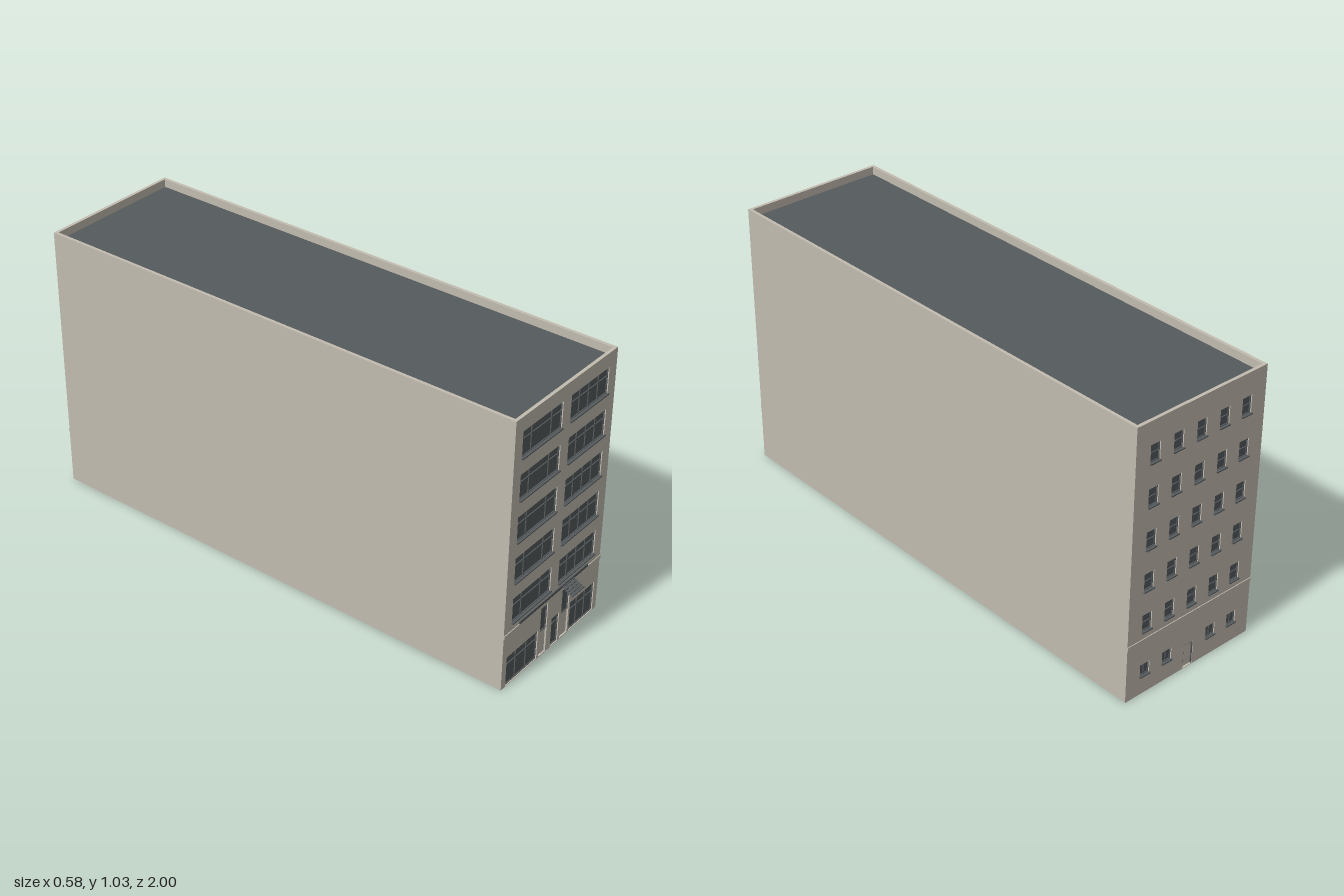
import * as THREE from 'three';

const FRONT = 0.953, BACK = -0.994, T = 0.012, HEIGHT = 1.03;
const stone = new THREE.MeshStandardMaterial({ name: 'warm stone', color: 0xc2bcb0 });
const dark = new THREE.MeshStandardMaterial({ name: 'dark slate', color: 0x555a5d });

function box(parent, name, mat, x0, x1, y0, y1, z0, z1) {
  const m = new THREE.Mesh(new THREE.BoxGeometry(x1 - x0, y1 - y0, Math.abs(z1 - z0)), mat);
  m.position.set((x0 + x1) / 2, (y0 + y1) / 2, (z0 + z1) / 2);
  m.name = name;
  parent.add(m);
  return m;
}

// End wall with rectangular openings [x0, x1, y0, y1]
function endWall(parent, name, x0, x1, z, openings) {
  const rect = (P, a, b, c, d) =>
    new P([[a, c], [b, c], [b, d], [a, d]].map(([x, y]) => new THREE.Vector2(x, y)));
  const shape = rect(THREE.Shape, x0, x1, 0, HEIGHT);
  for (const o of openings) shape.holes.push(rect(THREE.Path, ...o));
  const m = new THREE.Mesh(new THREE.ExtrudeGeometry(shape, { depth: T, bevelEnabled: false }), stone);
  m.position.z = z;
  m.name = name;
  parent.add(m);
}

// Slab raised from a plan outline of [x, z] corners
function slab(parent, name, mat, plan, y0, y1) {
  const shape = new THREE.Shape(plan.map(([x, z]) => new THREE.Vector2(x, -z)));
  const geo = new THREE.ExtrudeGeometry(shape, { depth: y1 - y0, bevelEnabled: false });
  const m = new THREE.Mesh(geo.rotateX(-Math.PI / 2), mat);
  m.position.y = y0;
  m.name = name;
  parent.add(m);
}

// Recessed pane with frame and bars; dir is +1 on the front, -1 on the back
function glazing(parent, name, [x0, x1, y0, y1], face, dir, verticals, horizontals, sill) {
  const g = new THREE.Group();
  g.name = name;
  parent.add(g);
  const zp = face - dir * 0.008, zf = face - dir * 0.004, b = 0.0025;
  box(g, 'pane', dark, x0, x1, y0, y1, zp - dir * 0.002, zp);
  for (const f of [0, ...verticals, 1]) {
    const x = x0 + b / 2 + f * (x1 - x0 - b);
    box(g, 'upright', dark, x - b / 2, x + b / 2, y0, y1, zp, zf);
  }
  for (const f of [0, ...horizontals, 1]) {
    const y = y0 + b / 2 + f * (y1 - y0 - b);
    box(g, 'crossbar', dark, x0, x1, y - b / 2, y + b / 2, zp, zf);
  }
  if (sill) box(g, 'sill', dark, x0 - 0.002, x1 + 0.002, y0 - 0.003, y0 + 0.001, zp, face + dir * 0.006);
}

export function createModel() {
  const model = new THREE.Group();
  model.name = 'building';
  const rows = [0, 1, 2, 3, 4].map((i) => 0.249 + i * 0.1573);

  // Openings
  const leftWindows = rows.map((y) => [-0.248, -0.028, y, y + 0.097]);
  const rightWindows = rows.map((y) => [0.018, 0.235, y, y + 0.097]);
  const shopfronts = [[-0.265, -0.085, 0.002, 0.12], [0.107, 0.255, 0.002, 0.12]];
  const smallDoor = [-0.004, 0.04, 0.002, 0.12];
  const tallDoors = [[-0.073, -0.033, 0.003, 0.202], [0.053, 0.098, 0.003, 0.202]];
  const columns = [0.204, 0.104, 0.003, -0.098, -0.197];
  const rearWindows = rows.flatMap((y) => columns.map((x) => [x - 0.021, x + 0.021, y, y + 0.066]));
  const rearLow = columns.filter((x) => x !== 0.003).map((x) => [x - 0.021, x + 0.021, 0.072, 0.118]);
  const rearDoor = [-0.019, 0.025, 0.002, 0.094];

  // Open-bottomed shell on a slightly skewed plan, rising to a parapet
  endWall(model, 'frontWall', -0.29, 0.277, FRONT - T,
    [...leftWindows, ...rightWindows, ...shopfronts, smallDoor, ...tallDoors]);
  endWall(model, 'backWall', -0.28, 0.287, BACK, [...rearWindows, ...rearLow, rearDoor]);
  const zf = FRONT - T, zb = BACK + T;
  slab(model, 'rightWall', stone, [[0.277 - T, zf], [0.277, zf], [0.287, zb], [0.287 - T, zb]], 0, HEIGHT);
  slab(model, 'leftWall', stone, [[-0.29, zf], [-0.29 + T, zf], [-0.28 + T, zb], [-0.28, zb]], 0, HEIGHT);
  slab(model, 'roof', dark,
    [[-0.29 + T, zf], [0.277 - T, zf], [0.287 - T, zb], [-0.28 + T, zb]], 0.99, 1.0);

  // Front glazing
  for (const o of leftWindows) glazing(model, 'frontWindow', o, FRONT, 1, [0.25, 0.75], [0.66], true);
  for (const o of rightWindows) glazing(model, 'frontWindow', o, FRONT, 1, [0.25, 0.5, 0.75], [0.66], true);
  for (const o of shopfronts) glazing(model, 'shopfront', o, FRONT, 1, [0.33, 0.67], [0.7], false);
  glazing(model, 'smallDoor', smallDoor, FRONT, 1, [], [0.75], false);

  // Tall entrances: glazed above, plain panel below
  for (const [x0, x1, y0, y1] of tallDoors) {
    glazing(model, 'entranceGlass', [x0, x1, 0.1, y1], FRONT, 1, [], [], false);
    box(model, 'entrancePanel', stone, x0, x1, y0, 0.1, FRONT - 0.01, FRONT - 0.006);
  }

  // Rear glazing and door
  for (const o of rearWindows) glazing(model, 'rearWindow', o, BACK, -1, [], [0.5], true);
  for (const o of rearLow) glazing(model, 'rearLowWindow', o, BACK, -1, [0.5], [], true);
  const [dx0, dx1, dy0, dy1] = rearDoor;
  box(model, 'rearDoor', stone, dx0, dx1, dy0, dy1, BACK + 0.01, BACK + 0.007);
  for (const x of [dx0, dx1 - 0.003]) {
    box(model, 'rearDoorFrame', dark, x, x + 0.003, dy0, dy1, BACK + 0.007, BACK + 0.002);
  }
  box(model, 'rearDoorHead', dark, dx0, dx1, dy1 - 0.003, dy1, BACK + 0.007, BACK + 0.002);

  // String courses and fascia
  box(model, 'frontBand', stone, -0.29, 0.277, 0.209, 0.221, FRONT, FRONT + 0.003);
  box(model, 'rearBand', stone, -0.28, 0.287, 0.209, 0.221, BACK - 0.003, BACK);
  box(model, 'fascia', dark, -0.205, 0.195, 0.222, 0.232, FRONT, FRONT + 0.005);

  // Slatted canopy stepping down over the entrance
  for (let i = 0; i < 5; i++) {
    const z = FRONT + i * 0.0094, y = 0.227 - i * 0.005;
    box(model, 'canopySlat', dark, 0.04, 0.11, y - 0.003, y, z, z + 0.0094);
  }
  return model;
}
